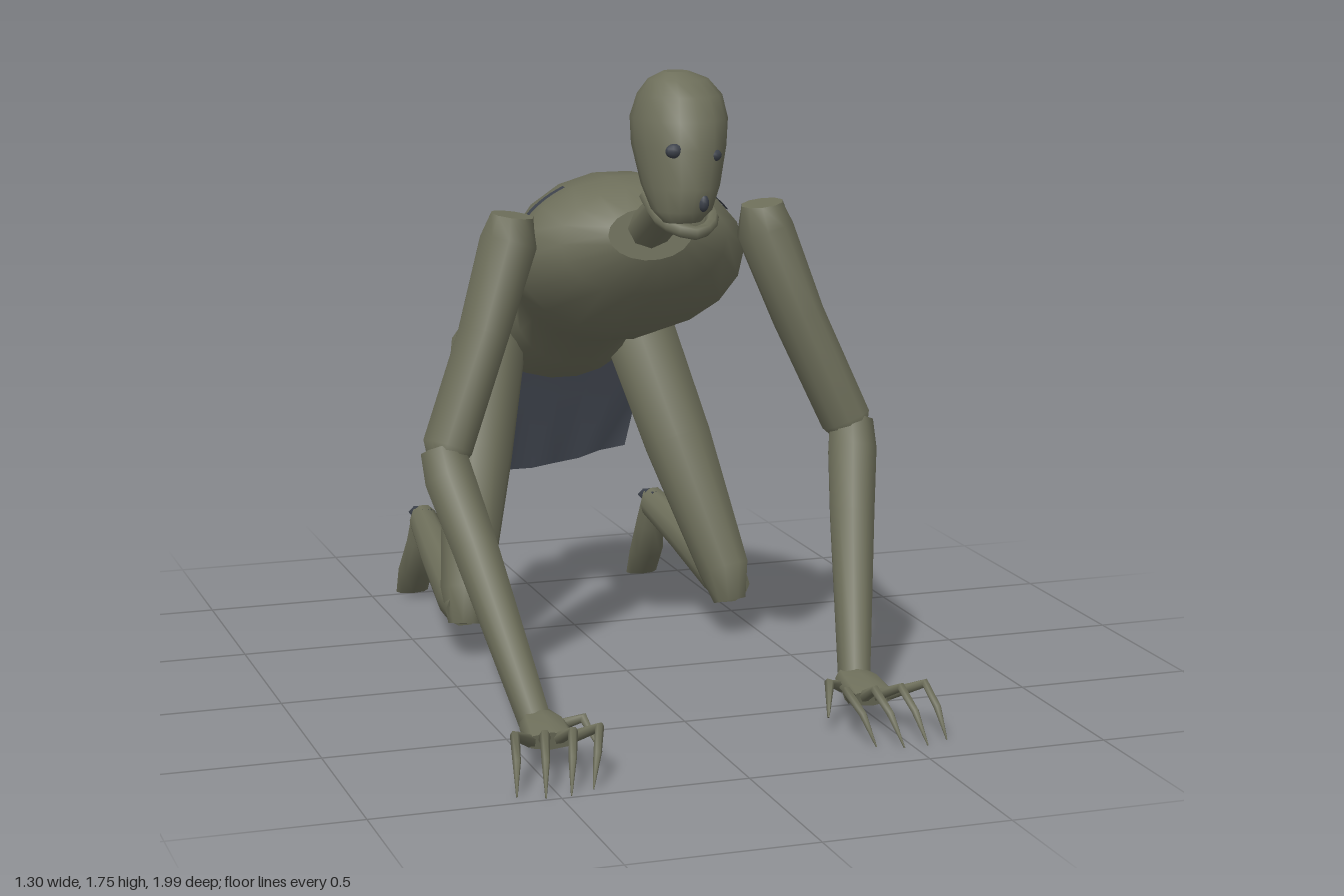
import * as THREE from 'three';

const V3 = (x, y, z) => new THREE.Vector3(x, y, z);

// Closed loft through elliptical rings { c, u, v }; paint(i, j) picks the material of a cell.
function loft(rings, sides, paint = () => 0) {
  const pos = [], faces = [[], []];
  const first = rings[0], last = rings[rings.length - 1];
  const axis = last.c.clone().sub(first.c);
  const flip = first.u.clone().cross(first.v).dot(axis) < 0;
  const tri = (m, a, b, c) => (flip ? faces[m].push(a, c, b) : faces[m].push(a, b, c));
  const addRing = r => {
    const start = pos.length / 3;
    for (let j = 0; j < sides; j++) {
      const t = (j / sides) * Math.PI * 2;
      const p = r.c.clone().addScaledVector(r.u, Math.cos(t)).addScaledVector(r.v, Math.sin(t));
      pos.push(p.x, p.y, p.z);
    }
    return start;
  };
  rings.forEach(addRing);
  for (let i = 0; i < rings.length - 1; i++) {
    for (let j = 0; j < sides; j++) {
      const k = (j + 1) % sides, a = i * sides, b = a + sides, m = paint(i, j);
      tri(m, a + j, a + k, b + j);
      tri(m, a + k, b + k, b + j);
    }
  }
  // flat end caps with their own vertices
  [first, last].forEach((r, end) => {
    const s = addRing(r), n = pos.length / 3, m = paint(end ? rings.length : -1, 0);
    pos.push(r.c.x, r.c.y, r.c.z);
    for (let j = 0; j < sides; j++) {
      const k = (j + 1) % sides;
      end ? tri(m, n, s + j, s + k) : tri(m, n, s + k, s + j);
    }
  });
  const g = new THREE.BufferGeometry();
  g.setAttribute('position', new THREE.Float32BufferAttribute(pos, 3));
  g.setIndex([...faces[0], ...faces[1]]);
  g.addGroup(0, faces[0].length, 0);
  g.addGroup(faces[0].length, faces[1].length, 1);
  g.computeVertexNormals();
  return g;
}

// Limb along points [x, y, z, halfWidth, halfDepth]
function limb(points, sides = 10, paint) {
  const c = points.map(p => V3(p[0], p[1], p[2]));
  const rings = points.map(([, , , w, d = w], i) => {
    const t = c[Math.min(i + 1, c.length - 1)].clone().sub(c[Math.max(i - 1, 0)]).normalize();
    const u = V3(1, 0, 0).addScaledVector(t, -t.x).normalize();
    const v = t.clone().cross(u);
    return { c: c[i], u: u.multiplyScalar(w), v: v.multiplyScalar(d) };
  });
  return loft(rings, sides, paint);
}

export function createModel() {
  const skin = new THREE.MeshStandardMaterial({ color: 0x6d6e5a });
  skin.name = 'olive skin';
  const dark = new THREE.MeshStandardMaterial({ color: 0x3d424b, side: THREE.DoubleSide });
  dark.name = 'dark slate';
  const both = [skin, dark];

  const model = new THREE.Group();
  model.name = 'crouchingCreature';
  const add = (name, geometry, material = skin, parent = model) => {
    const m = new THREE.Mesh(geometry, material);
    m.name = name;
    parent.add(m);
    return m;
  };

  // Torso: [topZ, topY, bottomZ, bottomY, halfWidth] from chest to rump
  const torso = [
    [0.19, 1.36, 0.22, 1.22, 0.12], [0.12, 1.41, 0.18, 1.12, 0.24],
    [0.03, 1.43, 0.06, 0.99, 0.33], [-0.14, 1.42, -0.1, 0.94, 0.31],
    [-0.36, 1.31, -0.32, 0.9, 0.23], [-0.5, 1.13, -0.45, 0.81, 0.185],
    [-0.66, 1.05, -0.6, 0.74, 0.23], [-0.79, 0.975, -0.69, 0.73, 0.2],
    [-0.82, 0.87, -0.76, 0.74, 0.13],
  ].map(([tz, ty, bz, by, w]) => ({
    c: V3(0, (ty + by) / 2, (tz + bz) / 2),
    u: V3(w, 0, 0),
    v: V3(0, (ty - by) / 2, (tz - bz) / 2),
  }));
  add('torso', loft(torso, 18));

  // Neck
  add('neck', limb([[0, 1.29, 0.17, 0.065, 0.055], [0.01, 1.43, 0.42, 0.06, 0.05]], 8));

  // Head: [y, frontZ, backZ, halfWidth, centreX]; a dark patch covers the back of the skull
  const head = [
    [1.37, 0.56, 0.48, 0.05, -0.02], [1.4, 0.585, 0.42, 0.08, -0.015],
    [1.46, 0.595, 0.33, 0.1, -0.005], [1.56, 0.583, 0.255, 0.12, 0.005],
    [1.63, 0.56, 0.238, 0.125, 0.012], [1.69, 0.52, 0.262, 0.11, 0.017],
    [1.73, 0.475, 0.315, 0.08, 0.012], [1.75, 0.43, 0.36, 0.035, 0.005],
  ].map(([y, f, b, w, x]) => ({
    c: V3(x, y, (f + b) / 2), u: V3(w, 0, 0), v: V3(0, 0, (b - f) / 2),
  }));
  add('head', loft(head, 16, (i, j) => (i >= 3 && i <= 5 && j >= 2 && j <= 5 ? 1 : 0)), both);

  // Jaw
  const jawCurve = new THREE.CatmullRomCurve3([
    V3(-0.07, 1.42, 0.37), V3(-0.06, 1.365, 0.49), V3(0.01, 1.342, 0.55),
    V3(0.075, 1.365, 0.49), V3(0.08, 1.42, 0.37),
  ]);
  add('jaw', new THREE.TubeGeometry(jawCurve, 12, 0.018, 6));

  // Eyes and nose
  [['rightEye', -0.055, 1.56, 0.557, 0.024, 0.019], ['leftEye', 0.052, 1.545, 0.557, 0.024, 0.017],
    ['nose', 0.018, 1.425, 0.577, 0.016, 0.024]].forEach(([name, x, y, z, w, h]) => {
    const m = add(name, new THREE.SphereGeometry(1, 10, 8), dark);
    m.position.set(x, y, z);
    m.scale.set(w, h, 0.017);
  });

  for (const s of [1, -1]) {
    const side = s > 0 ? 'left' : 'right';
    const reach = s > 0 ? 0 : 0.09; // the right hand is set further forward

    // Arm
    const arm = new THREE.Group();
    arm.name = side + 'Arm';
    model.add(arm);
    add('upperArm', limb([
      [s * 0.36, 1.345, 0.105, 0.06, 0.055], [s * 0.37, 1.27, 0.1, 0.08, 0.1],
      [s * 0.455, 1.03, 0.145, 0.07, 0.098], [s * 0.575, 0.74, 0.21, 0.07, 0.08],
      [s * 0.585, 0.705, 0.22, 0.05, 0.055],
    ]), skin, arm);
    add('forearm', limb([
      [s * 0.59, 0.735, 0.215, 0.062, 0.065], [s * 0.58, 0.66, 0.25, 0.07, 0.07],
      [s * 0.545, 0.5, 0.34 + reach * 0.3, 0.064, 0.064],
      [s * 0.465, 0.09, 0.565 + reach, 0.045, 0.045],
    ], 10, i => (i === 4 ? 1 : 0)), both, arm);

    // Hand with four fanned fingers and a thumb
    const hand = new THREE.Group();
    hand.name = side + 'Hand';
    hand.position.set(s * 0.46, 0, 0.57 + reach);
    arm.add(hand);
    add('palm', limb([
      [0, 0.1, -0.02, 0.045, 0.035], [0, 0.1, 0.05, 0.065, 0.033], [s * 0.005, 0.085, 0.13, 0.07, 0.025],
    ], 8), skin, hand);
    for (let f = 0; f < 4; f++) {
      const a = f - 1.5, inner = 1 - Math.abs(a) / 1.5;
      const knuckle = s * 0.036 * a, bend = s * (0.01 + 0.075 * a), tip = s * (0.045 + 0.067 * a);
      add('finger', limb([
        [knuckle, 0.085, 0.115, 0.017], [bend, 0.135, 0.205 + 0.02 * inner, 0.013],
        [(bend + tip) / 2, 0.085, 0.26 + 0.025 * inner, 0.011], [tip, 0.005, 0.3 + 0.045 * inner, 0.002],
      ], 6), skin, hand);
    }
    add('thumb', limb([
      [-s * 0.04, 0.09, 0.03, 0.017], [-s * 0.1, 0.12, 0.075, 0.014], [-s * 0.128, 0.045, 0.14, 0.003],
    ], 6), skin, hand);

    // Leg
    const leg = new THREE.Group();
    leg.name = side + 'Leg';
    model.add(leg);
    add('thigh', limb([
      [s * 0.225, 0.95, -0.6, 0.06, 0.05], [s * 0.235, 0.86, -0.585, 0.112, 0.105],
      [s * 0.31, 0.56, -0.455, 0.105, 0.098], [s * 0.395, 0.2, -0.28, 0.075, 0.08],
      [s * 0.405, 0.11, -0.255, 0.05, 0.035],
    ]), skin, leg);
    add('shin', limb([
      [s * 0.405, 0.155, -0.25, 0.06, 0.055], [s * 0.405, 0.17, -0.33, 0.064, 0.065],
      [s * 0.39, 0.225, -0.6, 0.055, 0.06], [s * 0.37, 0.27, -0.86, 0.042, 0.052],
    ]), skin, leg);
    add('ankle', limb([
      [s * 0.37, 0.275, -0.82, 0.03, 0.045], [s * 0.37, 0.285, -0.915, 0.032, 0.02],
    ], 6), dark, leg);
    add('foot', limb([
      [s * 0.37, 0.295, -0.86, 0.035, 0.03], [s * 0.37, 0.2, -0.89, 0.045, 0.045],
      [s * 0.375, 0.1, -0.94, 0.055, 0.04], [s * 0.375, 0.015, -0.99, 0.05, 0.012],
    ], 8), skin, leg);

    // Strap lying over the shoulder
    const strap = new THREE.PlaneGeometry(1, 1, 8, 1);
    const p = strap.attributes.position;
    for (let i = 0; i < p.count; i++) {
      const t = 0.5 + (p.getX(i) + 0.5) * 0.5;
      p.setXYZ(i, s * 0.336 * Math.cos(t), 1.205 + 0.232 * Math.sin(t), p.getY(i) * 0.025);
    }
    strap.computeVertexNormals();
    add(side + 'Strap', strap, dark);
  }

  // Loincloth: a thin sheet that hangs behind the thighs, [y, z, halfWidth] per row
  const rows = [[1.0, -0.62, 0.25], [0.87, -0.645, 0.3], [0.67, -0.675, 0.26], [0.47, -0.7, 0.22]];
  const cloth = new THREE.PlaneGeometry(2, 3, 6, 3);
  const q = cloth.attributes.position;
  for (let i = 0; i < q.count; i++) {
    const [y, z, w] = rows[Math.floor(i / 7)];
    const x = q.getX(i), drop = i >= 21 ? 0.03 * x - 0.015 * (1 - Math.abs(x)) : 0;
    q.setXYZ(i, x * w, y + drop, z + (i % 2 ? 0.012 : -0.008));
  }
  cloth.computeVertexNormals();
  add('loincloth', cloth, dark);

  return model;
}
